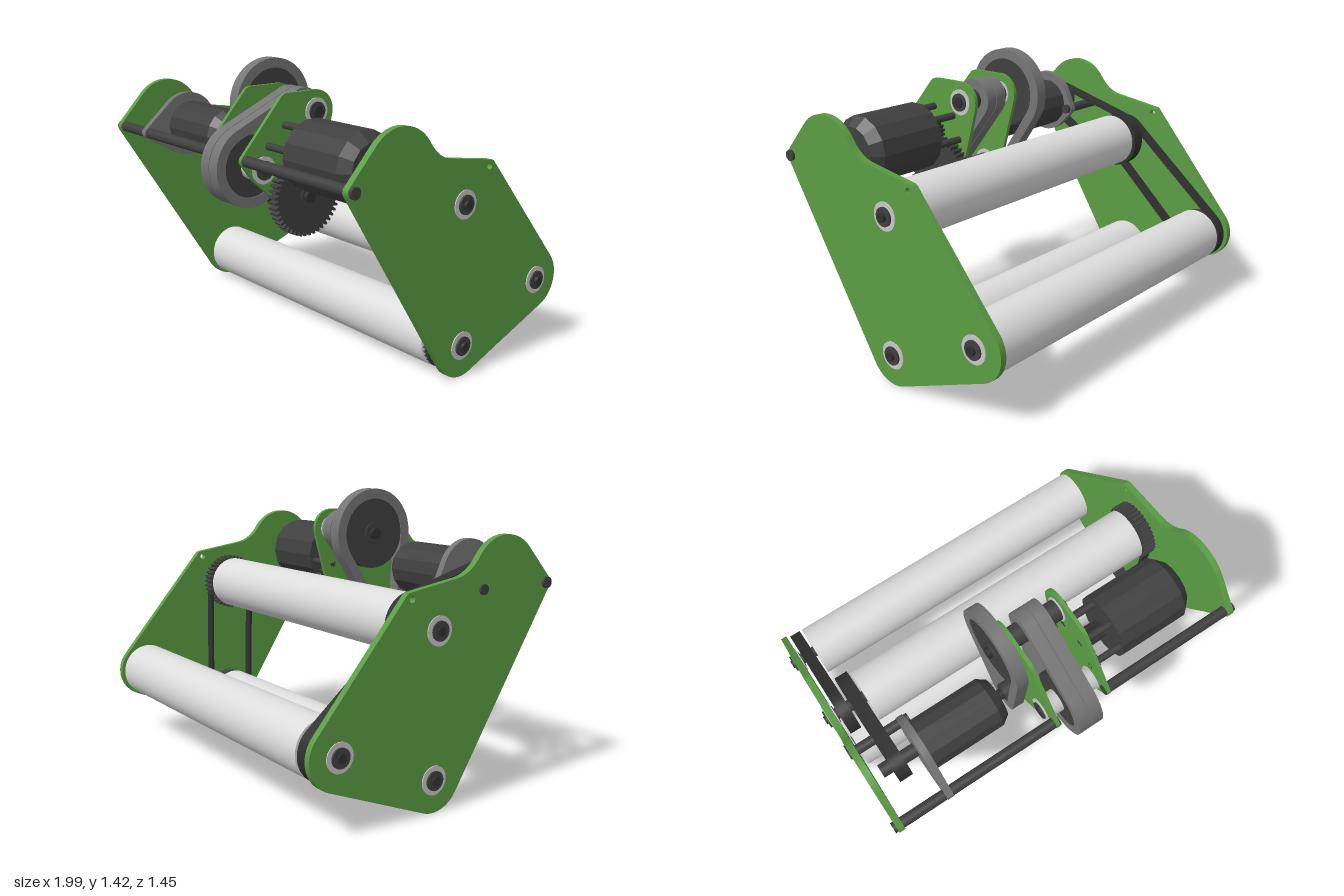
import * as THREE from 'three';
import { toCreasedNormals } from 'three/addons/utils/BufferGeometryUtils.js';

const paint = (name, color) => Object.assign(new THREE.MeshStandardMaterial({ color }), { name });

export function createModel() {
  const green = paint('plate green', 0x5a9c43);
  const light = paint('roller light grey', 0xdcdcdc);
  const pale = paint('bearing pale grey', 0xc8c8c8);
  const grey = paint('belt grey', 0x757575);
  const dark = paint('dark plastic', 0x3f3f3f);
  const black = paint('black rubber', 0x303030);

  const model = new THREE.Group();
  const add = (name, geo, mat) => {
    const mesh = new THREE.Mesh(geo, mat);
    mesh.name = name;
    model.add(mesh);
    return mesh;
  };

  // Cylinder along x, centred at [z, y]
  const rod = (name, mat, x0, x1, [z, y], r, seg = 32, r1 = r) => {
    let geo = new THREE.CylinderGeometry(r1, r, x1 - x0, seg);
    if (seg < 16) geo = toCreasedNormals(geo, 0.3);
    geo.rotateZ(-Math.PI / 2).translate((x0 + x1) / 2, y, z);
    return add(name, geo, mat);
  };

  // Outline wrapped around circles [z, y, r], counter-clockwise; a negative r makes a concave bend
  const wrap = (circles, inset = 0) => {
    const n = circles.length;
    const normals = circles.map(([z, y, r], i) => {
      const [z2, y2, r2] = circles[(i + 1) % n];
      const d = Math.hypot(z2 - z, y2 - y);
      return Math.atan2(y2 - y, z2 - z) - Math.acos(THREE.MathUtils.clamp((r - r2) / d, -1, 1));
    });
    const pts = [];
    circles.forEach(([z, y, r], i) => {
      const a = normals[(i + n - 1) % n];
      const full = Math.PI * 2;
      let turn = (((normals[i] - a) % full) + full) % full;
      if (r < 0) turn -= full;
      const steps = Math.max(3, Math.ceil(Math.abs(turn) / 0.12));
      for (let k = 0; k <= steps; k++) {
        const t = a + (turn * k) / steps;
        pts.push(new THREE.Vector2(z + (r - inset) * Math.cos(t), y + (r - inset) * Math.sin(t)));
      }
    });
    return pts;
  };

  // Flat part in the z-y plane, extruded from x0 to x1
  const slab = (name, mat, x0, x1, outline, holes = []) => {
    const shape = new THREE.Shape(outline);
    holes.forEach((h) => shape.holes.push(new THREE.Path(h)));
    const geo = new THREE.ExtrudeGeometry(shape, { depth: x1 - x0, bevelEnabled: false });
    geo.rotateY(-Math.PI / 2).translate(x1, 0, 0);
    return add(name, toCreasedNormals(geo, 0.5), mat);
  };
  const belt = (name, mat, x0, x1, circles, t) =>
    slab(name, mat, x0, x1, wrap(circles), [wrap(circles, t)]);
  const circle = ([z, y], r, n = 24) => Array.from({ length: n }, (_, i) =>
    new THREE.Vector2(z + r * Math.cos((i / n) * 2 * Math.PI), y + r * Math.sin((i / n) * 2 * Math.PI)));
  const gear = (name, mat, x0, x1, [z, y], r, teeth, depth) => {
    const pts = [];
    for (let i = 0; i < teeth; i++) {
      [[0, r - depth], [0.3, r - depth], [0.45, r], [0.8, r]].forEach(([f, rad]) => {
        const a = ((i + f) / teeth) * 2 * Math.PI;
        pts.push(new THREE.Vector2(z + rad * Math.cos(a), y + rad * Math.sin(a)));
      });
    }
    return slab(name, mat, x0, x1, pts);
  };

  // Axle positions [z, y]
  const lower = [-0.05, 0.157], rear = [-0.57, 0.365], middle = [-0.037, 0.84];
  const top = [0.214, 1.192], front = [0.528, 0.945], drive = [0.32, 0.8];
  const smallMotor = [0.375, 1.02], bigMotor = [0.365, 1.025];
  const frontRod = [0.625, 1.0], backRod = [0.22, 1.0];

  // Side plates with bearings
  const plate = wrap([[...lower, 0.155], [0.628, 1.0, 0.03], [0.36, 1.04, 0.2],
    [0.03, 1.25, -0.19], [-0.2, 0.993, 0.03], [...rear, 0.153]]);
  const inX = { '1': 0.935, '-1': 0.942 };
  for (const s of [1, -1]) {
    const a = s * inX[s], b = s * (inX[s] + 0.033);
    const span = (name, mat, from, to, c, r, seg) =>
      rod(name, mat, Math.min(from, to), Math.max(from, to), c, r, seg);
    slab('sidePlate', green, Math.min(a, b), Math.max(a, b), plate, [circle([-0.193, 0.992], 0.015)]);
    for (const c of [lower, rear, middle]) {
      span('bearingRing', pale, a - s * 0.006, b + s * 0.005, c, 0.069);
      span('bearingHub', dark, a - s * 0.01, b + s * 0.014, c, 0.046);
      span('axleBolt', black, b, s * 0.997, c, 0.022, 16);
    }
    span('rodCap', dark, b, b + s * 0.014, frontRod, 0.027, 20);
  }

  // Rollers and axles
  for (const [name, c, x0, x1] of [['lowerRoller', lower, -0.93, 0.845],
    ['rearRoller', rear, -0.85, 0.925], ['middleRoller', middle, -0.77, 0.845]]) {
    rod(name, light, x0, x1, c, 0.14, 64);
    rod('rollerAxle', dark, -0.95, 0.95, c, 0.03, 20);
  }

  // Roller drive on the left-over end: toothed pulleys and belt
  for (const c of [lower, middle]) gear('rollerPulley', dark, 0.855, 0.922, c, c === middle ? 0.153 : 0.137, 36, 0.014);
  belt('rollerBelt', black, 0.868, 0.915, [[...lower, 0.137], [...middle, 0.137]].reverse(), 0.015);

  // Roller drive on the motor end: two belts with their pulleys
  for (const [name, x0, x1, circles] of [
    ['rearBelt', -0.925, -0.865, [[...rear, 0.14], [...middle, 0.122]]],
    ['motorBelt', -0.85, -0.782, [[...middle, 0.153], [...smallMotor, 0.09]]]]) {
    belt(name, black, x0, x1, circles, 0.016);
    for (const [z, y, r] of circles) rod('beltPulley', dark, x0 + 0.006, x1 - 0.006, [z, y], r - 0.012, 40);
  }

  // Small motor on its mounting plate
  slab('motorMount', grey, -0.71, -0.675,
    wrap([[...backRod, 0.03], [0.375, 1.03, -0], [...frontRod, 0.03]].map((c, i) => i === 1 ? [0.385, 1.03, 0.17] : c)
      .filter((_, i) => i === 1).concat([[...backRod, 0.03]]).concat([[0.385, 1.03, 0.169], [...frontRod, 0.03]]).slice(1, 2)
      .concat([[0.385, 1.025, 0.168], [...frontRod, 0.03], [0.385, 1.03, 0.168]])));
  rod('smallMotorBody', dark, -0.675, -0.3, smallMotor, 0.132, 14);
  rod('smallMotorEnd', dark, -0.3, -0.255, smallMotor, 0.132, 14, 0.1);
  rod('smallMotorShaft', dark, -0.9, -0.67, smallMotor, 0.034, 20);

  // Cross rods
  rod('leftFrontRod', dark, -0.95, -0.068, frontRod, 0.027, 24);
  rod('rightFrontRod', dark, 0.195, 0.94, frontRod, 0.027, 24);
  rod('backRod', dark, -0.985, -0.655, backRod, 0.025, 24);

  // Inner plates with bearings
  const innerOutline = wrap([[...drive, 0.1], [...front, 0.075], [...frontRod, 0.03],
    [0.385, 1.245, 0.05], [...top, 0.104]]);
  for (const [x0, x1, out] of [[-0.096, -0.076, -1], [0.2, 0.22, 1]]) {
    slab('innerPlate', green, x0, x1, innerOutline);
    for (const c of [top, drive, front]) {
      rod('innerBearing', pale, x0 - 0.006, x1 + 0.006, c, 0.066);
      rod('innerHub', dark, x0 - 0.014, x1 + 0.014, c, 0.046);
    }
  }
  rod('topAxle', dark, -0.185, 0.2, top, 0.055);
  rod('topAxleBolt', black, -0.205, 0.245, top, 0.028, 20);
  rod('driveAxle', dark, -0.185, 0.295, drive, 0.045);
  rod('driveAxleBolt', black, -0.205, 0.315, drive, 0.028, 20);
  rod('frontAxle', pale, -0.076, 0.2, front, 0.06);
  rod('frontAxleBolt', black, -0.115, 0.24, front, 0.022, 20);

  // Twin centre belts and their pulleys
  for (const x of [-0.01, 0.06]) {
    const loop = [[...front, 0.2], [...top, 0.104]];
    belt('centreBelt', grey, x, x + 0.066, loop, 0.05);
    for (const [z, y, r] of loop) rod('centrePulley', dark, x + 0.006, x + 0.06, [z, y], r - 0.048, 40);
  }

  // Large reduction pulley and belt
  const reduction = [[...drive, 0.097], [...top, 0.227]];
  belt('reductionBelt', grey, -0.185, -0.12, reduction, 0.05);
  for (const [z, y, r] of reduction) rod('reductionPulley', dark, -0.179, -0.126, [z, y], r - 0.048, 48);

  // Large motor with gear train and standoffs
  rod('largeMotorBody', dark, 0.378, 0.75, bigMotor, 0.172, 14);
  rod('largeMotorEnd', dark, 0.75, 0.8, bigMotor, 0.172, 14, 0.125);
  gear('driveGear', dark, 0.235, 0.29, drive, 0.198, 44, 0.022);
  gear('pinion', black, 0.232, 0.36, bigMotor, 0.05, 12, 0.013);
  for (let i = 0; i < 6; i++) {
    const a = (i / 6) * 2 * Math.PI + 0.25;
    if (Math.sin(a) < -0.5) continue;
    rod('standoff', dark, 0.2, 0.38, [bigMotor[0] + 0.14 * Math.cos(a), bigMotor[1] + 0.125 * Math.sin(a)], 0.018, 16);
  }
  return model;
}
